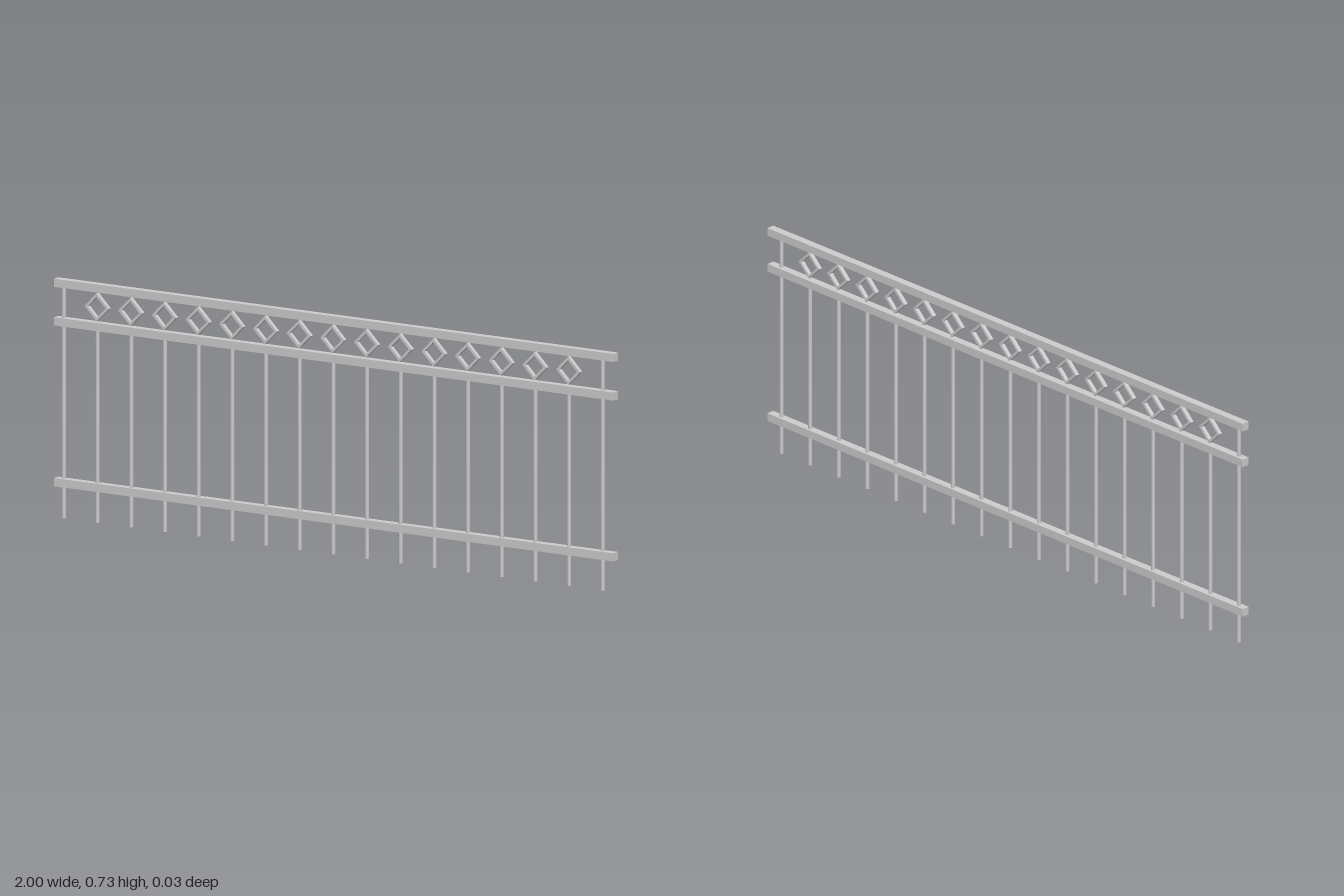
import * as THREE from 'three';

export function createModel() {
  const fence = new THREE.Group();
  fence.name = 'fence';
  const material = new THREE.MeshStandardMaterial({ color: 0xcccccc });

  const add = (name, geometry, x, y, z) => {
    const mesh = new THREE.Mesh(geometry, material);
    mesh.name = name;
    mesh.position.set(x, y, z);
    fence.add(mesh);
  };

  // Three horizontal square rails
  const rail = new THREE.BoxGeometry(2, 0.025, 0.025);
  add('bottomRail', rail, 0, 0.108, 0);
  add('middleRail', rail, 0, 0.6, 0);
  add('topRail', rail, 0, 0.718, 0);

  // Diamond outline: a square frame standing on its corner
  const diamondPoints = (r) => [[r, 0], [0, r], [-r, 0], [0, -r]].map(([x, y]) => new THREE.Vector2(x, y));
  const outline = new THREE.Shape(diamondPoints(0.043));
  outline.holes.push(new THREE.Path(diamondPoints(0.032).reverse()));
  const depth = 0.013;
  const diamond = new THREE.ExtrudeGeometry(outline, { depth, bevelEnabled: false });
  diamond.translate(0, 0, -depth / 2);

  // Round bars; the end bars reach the top rail, the others carry a diamond above
  const bar = (height) => new THREE.CylinderGeometry(0.0062, 0.0062, height, 12).translate(0, height / 2, 0);
  const shortBar = bar(0.6);
  const endBar = bar(0.715);
  const count = 17;
  for (let i = 0; i < count; i++) {
    const x = -0.971 + i * 0.1203;
    const isEnd = i === 0 || i === count - 1;
    add(isEnd ? 'endBar' : 'bar', isEnd ? endBar : shortBar, x, 0, 0.001);
    if (!isEnd) add('diamond', diamond, x, 0.659, 0.001);
  }
  return fence;
}
